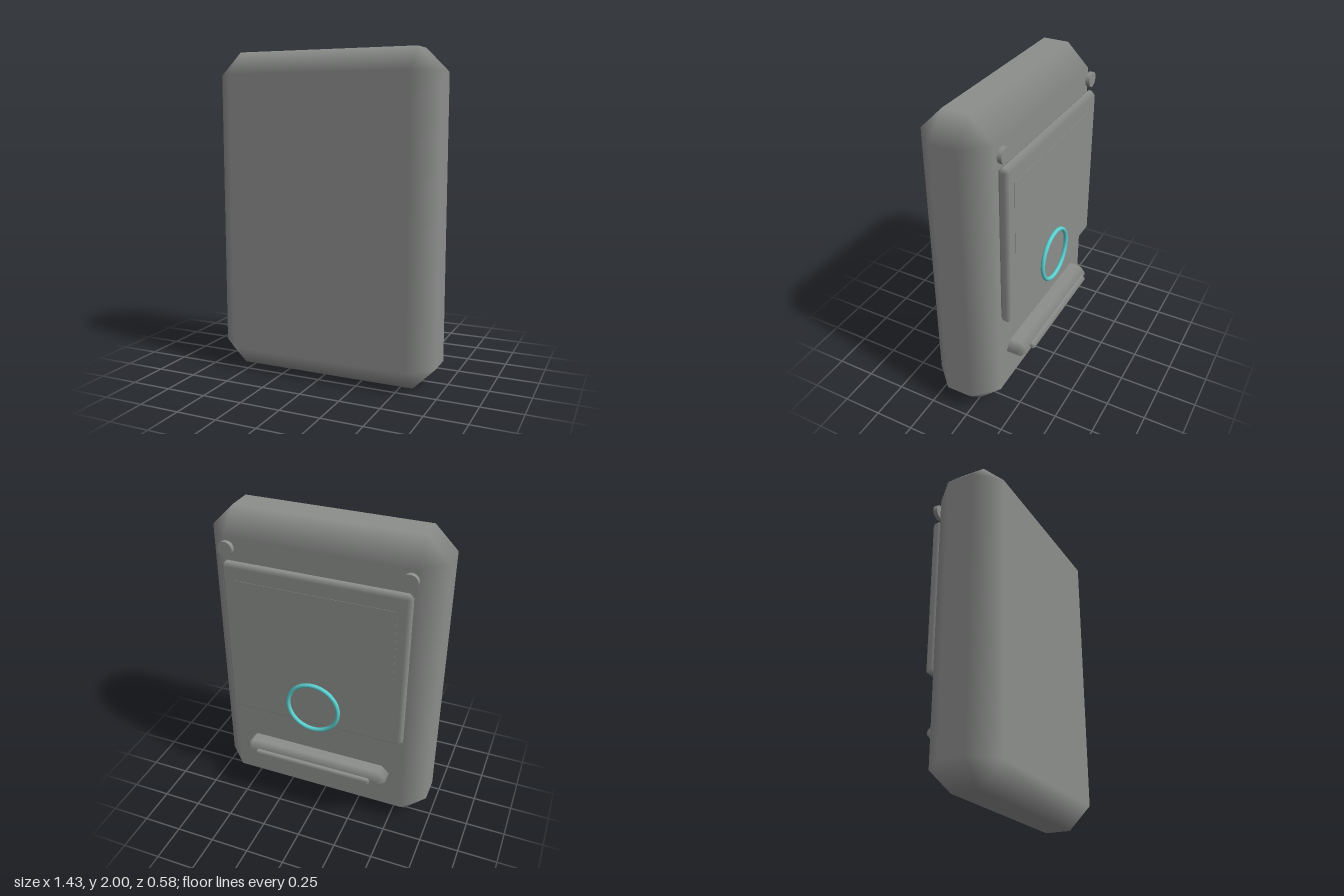
import * as THREE from 'three';
import { ConvexGeometry } from 'three/addons/geometries/ConvexGeometry.js';

// Box with a single bevel on every edge, shaded smoothly across the bevels
function bevelBox(w, h, d, bevel) {
  const half = [w / 2, h / 2, d / 2];
  const points = [];
  for (const sx of [-1, 1]) for (const sy of [-1, 1]) for (const sz of [-1, 1]) {
    for (let axis = 0; axis < 3; axis++) {
      const c = half.map((v, i) => (i === axis ? v : v - bevel));
      points.push(new THREE.Vector3(c[0] * sx, c[1] * sy, c[2] * sz));
    }
  }
  const geometry = new ConvexGeometry(points);
  const position = geometry.attributes.position;
  const normal = geometry.attributes.normal;
  // Each corner point takes the normal of the flat side it lies on
  for (let i = 0; i < position.count; i++) {
    const p = [position.getX(i), position.getY(i), position.getZ(i)];
    const n = p.map((v, k) => (Math.abs(Math.abs(v) - half[k]) < 1e-5 ? Math.sign(v) : 0));
    normal.setXYZ(i, n[0], n[1], n[2]);
  }
  return geometry;
}

export function createModel() {
  const group = new THREE.Group();
  const grey = new THREE.MeshStandardMaterial({ color: 0x8c8e8c });
  grey.name = 'grey casing';
  const cyan = new THREE.MeshStandardMaterial({ color: 0x5ccfcf });
  cyan.name = 'cyan ring';

  const add = (name, geometry, material, x, y, z) => {
    const mesh = new THREE.Mesh(geometry, material);
    mesh.name = name;
    mesh.position.set(x, y, z);
    group.add(mesh);
    return mesh;
  };

  // Main case
  add('case', bevelBox(1.43, 2, 0.442, 0.14), grey, 0, 1, 0.069);

  // Raised panel on the back with a thin screen
  add('panel', bevelBox(1.14, 1.03, 0.066, 0.024), grey, 0, 1.215, -0.185);
  add('screen', new THREE.BoxGeometry(0.99, 0.455, 0.004), grey, 0, 1.4, -0.218);

  // Ring in front of the panel
  add('ring', new THREE.TorusGeometry(0.165, 0.0135, 12, 48), cyan, 0, 0.85, -0.231);

  // Slot housing and its narrow lip
  add('slotHousing', bevelBox(0.97, 0.11, 0.16, 0.046), grey, 0, 0.4, -0.187);
  add('slotLip', bevelBox(0.79, 0.042, 0.042, 0.014), grey, 0, 0.403, -0.27);

  // Round studs at the upper corners
  for (const side of [-1, 1]) {
    const stud = add(side > 0 ? 'leftStud' : 'rightStud',
      new THREE.CylinderGeometry(0.046, 0.046, 0.027, 24), grey, side * 0.545, 1.803, -0.184);
    stud.rotation.x = Math.PI / 2;
  }

  return group;
}
